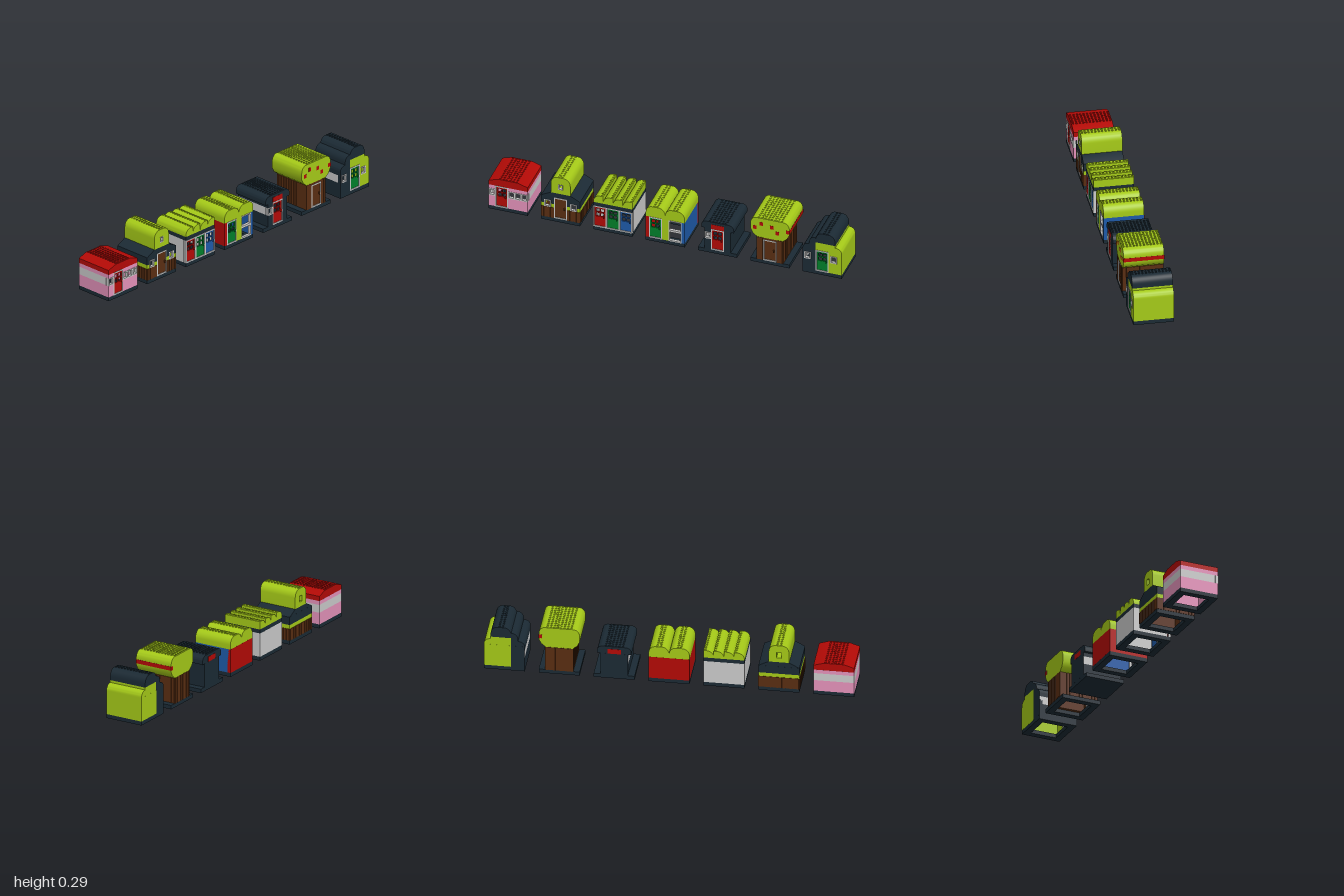
import * as THREE from 'three';
import { mergeGeometries, toCreasedNormals } from 'three/addons/utils/BufferGeometryUtils.js';

// s runs along -z in studs from each house centre, h is height in bricks, x is in units.
const U = 0.0184, B = 0.0222, X0 = -0.114, X1 = 0.107, PITCH = 0.2965;
const GREY = 0xcccccc, LIME = 0xa5ca18, RED = 0xb40a06, PINK = 0xe492ba, DARK = 0x1b2a34,
  BROWN = 0x5a2e12, GREEN = 0x00802b, BLUE = 0x1e5aa8;
const materials = {};
const mat = c => materials[c] ??= new THREE.MeshStandardMaterial({ color: c });

function add(g, name, color, geo) {
  const m = new THREE.Mesh(geo, mat(color));
  m.name = name;
  g.add(m);
}

const boxGeo = (s0, s1, h0, h1, x0 = X0, x1 = X1) =>
  new THREE.BoxGeometry(x1 - x0, (h1 - h0) * B, (s1 - s0) * U)
    .translate((x0 + x1) / 2, (h0 + h1) / 2 * B, -(s0 + s1) / 2 * U);

const rect = (s0, s1, h0, h1) => [[s0, h0], [s1, h0], [s1, h1], [s0, h1]];

// Side profile [s, h] with optional rectangular holes, swept along x
function prism(profile, holes = [], x0 = X0, x1 = X1) {
  const v = ([s, h]) => new THREE.Vector2(s * U, h * B);
  const shape = new THREE.Shape(profile.map(v));
  shape.holes = holes.map(q => new THREE.Path(rect(...q).reverse().map(v)));
  const geo = new THREE.ExtrudeGeometry(shape, { depth: x1 - x0, bevelEnabled: false });
  return toCreasedNormals(geo.rotateY(Math.PI / 2).translate(x0, 0, 0), 0.5);
}

// Block with rounded top corners: l and r are corner widths, e is corner height
function rounded(s0, s1, h0, h1, l, r, e) {
  const n = l || r ? 8 : 0;
  const arc = (w, f) => w ? Array.from({ length: n + 1 }, (_, i) => f(i / n * Math.PI / 2)) : null;
  const right = arc(r, a => [s1 - r + r * Math.cos(a), h1 - e + e * Math.sin(a)]) ?? [[s1, h1]];
  const left = arc(l, a => [s0 + l - l * Math.sin(a), h1 - e + e * Math.cos(a)]) ?? [[s0, h1]];
  return [[s0, h0], [s1, h0], ...right, ...left];
}

// Rows of studs on a flat top
function studs(g, color, s0, s1, h) {
  const geos = [];
  for (let s = s0 + 0.5; s < s1; s++) for (let i = 0; i < 12; i++)
    geos.push(new THREE.CylinderGeometry(0.0055, 0.0055, 0.006, 8)
      .translate(X0 + (i + 0.5) * (X1 - X0) / 12, h * B + 0.001, -s * U));
  add(g, 'roofStuds', color, mergeGeometries(geos));
}

// Open ring under a house
function base(g) {
  const t = 2 * U;
  add(g, 'base', DARK, mergeGeometries([
    boxGeo(-6, -4, 0, 1), boxGeo(4, 6, 0, 1),
    boxGeo(-4, 4, 0, 1, X0, X0 + t), boxGeo(-4, 4, 0, 1, X1 - t, X1)]));
}

// Hollow walls in horizontal bands [h0, h1, colour, colours by side]; null leaves a side out
function walls(g, s0, s1, bands, openings = []) {
  for (const [h0, h1, c, o = {}] of bands) {
    const side = { front: c, back: c, left: c, right: c, ...o };
    if (side.left !== null) add(g, 'sideWall', side.left, boxGeo(s0, s0 + 1, h0, h1, X0, X1 - U));
    if (side.right !== null) add(g, 'sideWall', side.right, boxGeo(s1 - 1, s1, h0, h1, X0, X1 - U));
    add(g, 'backWall', side.back, boxGeo(s0, s1, h0, h1, X0 - 0.0003, X0 + U));
    // Front wall is split into cells around the openings
    const hs = [...new Set([h0, h1, ...openings.flatMap(q => [q[2], q[3]])])]
      .filter(h => h >= h0 && h <= h1).sort((a, b) => a - b);
    const cells = [];
    for (let i = 0; i + 1 < hs.length; i++) {
      let s = s0;
      const row = openings.filter(q => q[2] <= hs[i] && q[3] >= hs[i + 1]).sort((a, b) => a[0] - b[0]);
      for (const q of [...row, [s1, s1]]) {
        if (q[0] > s) cells.push(boxGeo(s, q[0], hs[i], hs[i + 1], X1 - U, X1));
        s = q[1];
      }
    }
    if (cells.length) add(g, 'frontWall', side.front, mergeGeometries(cells));
  }
}

// Upright ribs of log-textured walls, leaving the doorway clear
function ribs(g, s0, s1, h0, h1) {
  const d = 0.0025, k = d / U, geos = [];
  for (let s = s0; s < s1; s++) {
    geos.push(boxGeo(s + 0.15, s + 0.85, h0, h1, X0 - d, X0));
    if (s >= 2 || s < -2) geos.push(boxGeo(s + 0.15, s + 0.85, h0, h1, X1, X1 + d));
  }
  for (let i = 0; i < 12; i++) {
    const x = X0 + (i + 0.15) * U;
    geos.push(boxGeo(s0 - k, s0, h0, h1, x, x + 0.7 * U), boxGeo(s1, s1 + k, h0, h1, x, x + 0.7 * U));
  }
  add(g, 'logRibs', BROWN, mergeGeometries(geos));
}

function frame(g, name, [a, b, c, d], w = 0.3) {
  add(g, name, GREY, prism(rect(a, b, c, d), [[a + w, b - w, c + w, d - w]], X1 - 0.014, X1 + 0.002));
}

const doorway = s => [s, s + 4, 1, 7];

function door(g, color, s0, glazed = true) {
  const s1 = s0 + 4, m = s0 + 2, panes = [];
  frame(g, 'doorFrame', doorway(s0));
  if (glazed) for (const a of [m - 1.25, m + 0.15]) for (const h of [4, 5.25]) panes.push([a, a + 1.1, h, h + 1]);
  add(g, 'door', color, prism(rect(s0 + 0.3, s1 - 0.3, 1.3, 6.7), panes, X1 - 0.01, X1 - 0.002));
  add(g, 'doorHandle', color, boxGeo(s1 - 0.95, s1 - 0.6, 3.8, 4.4, X1 - 0.003, X1 + 0.007));
}

const smallWindow = s => [s, s + 2, 4, 6];
const windows = (g, list) => list.forEach(q => frame(g, 'windowFrame', q));

function pinkHouse(g) {
  const win = [-6, 0, 2, 4].map(smallWindow);
  base(g);
  walls(g, -6, 6, [[1, 4, PINK], [4, 6, GREY], [6, 7, PINK]], [...win, doorway(-4)]);
  door(g, RED, -4);
  windows(g, win);
  add(g, 'roof', RED, prism([[-6, 7], [6, 7], [6, 8.2], [3, 9], [-3, 9], [-6, 8.2]]));
  studs(g, RED, -3, 3, 9);
}

function towerHouse(g) {
  const win = [-5, 3].map(smallWindow), towerWin = [-0.7, 0.7, 9.5, 11];
  base(g);
  walls(g, -6, 6, [[1, 4, BROWN], [4, 5, LIME], [5, 7, DARK]], [...win, doorway(-2)]);
  ribs(g, -6, 6, 1, 4);
  door(g, BROWN, -2, false);
  windows(g, win);
  add(g, 'lowerRoof', DARK, prism([[-6, 7], [6, 7], [3, 8.3], [-3, 8.3]]));
  add(g, 'tower', LIME, prism(rounded(-3, 3, 8.3, 13, 2, 2, 1.9), [towerWin]));
  frame(g, 'towerWindow', towerWin, 0.2);
  studs(g, LIME, -1, 1, 13);
}

function sawtoothHouse(g) {
  base(g);
  walls(g, -6, 6, [[1, 7, GREY]], [-6, -2, 2].map(doorway));
  [RED, GREEN, BLUE].forEach((c, i) => door(g, c, -6 + 4 * i));
  add(g, 'roofBand', DARK, boxGeo(-6, 6, 7, 8));
  for (let s = -6; s < 6; s += 3) {
    add(g, 'roofTooth', LIME, prism(rounded(s, s + 3, 8, 10, 2, 0, 1.7)));
    studs(g, LIME, s + 2, s + 3, 10);
  }
}

function twinArchHouse(g) {
  const win = [[1, 5, 1, 4], [1, 5, 4, 7]], corners = [[-6, -5, 1, 7], [5, 6, 1, 7]];
  base(g);
  walls(g, -6, 6, [[1, 7, RED, { right: BLUE, front: LIME }]], [...corners, doorway(-5), ...win]);
  [RED, BLUE].forEach((c, i) => add(g, 'frontCorner', c, boxGeo(...corners[i], X1 - U, X1)));
  door(g, GREEN, -5);
  windows(g, win);
  for (const s of [-6, 0]) {
    add(g, 'roofArch', LIME, prism(rounded(s, s + 6, 7, 10, 2, 2, 1.9)));
    studs(g, LIME, s + 2, s + 4, 10);
  }
}

function darkHut(g) {
  const win = [smallWindow(-4)];
  add(g, 'base', DARK, boxGeo(-6, 6, 0, 1));
  walls(g, -4, 4, [[1, 4, DARK], [4, 6, DARK, { left: GREY }], [6, 7, DARK]], [...win, doorway(-2)]);
  door(g, RED, -2);
  windows(g, win);
  add(g, 'roof', DARK, prism(rounded(-5, 5, 7, 9, 1.6, 1.6, 1.3)));
  add(g, 'lintel', RED, boxGeo(-2, 2, 7, 8.3, X0 - 0.001, X1 + 0.001));
  studs(g, DARK, -3, 3, 9);
}

function mushroomHut(g) {
  base(g);
  walls(g, -4, 4, [[1, 7.5, BROWN]], [doorway(-2)]);
  ribs(g, -4, 4, 1, 7.5);
  door(g, BROWN, -2, false);
  const cap = rounded(-6, 6, 9.6, 13, 1.8, 1.8, 1.8).slice(1);
  add(g, 'roof', LIME, prism([[-4, 7.5], [4, 7.5], [5.3, 8.4], ...cap, [-6, 9.6], [-5.3, 8.4]]));
  studs(g, LIME, -4, 4, 13);
  for (const [s, h] of [[-4.6, 10.1], [-2.6, 11.4], [0.6, 10.9], [2.3, 9.5]])
    add(g, 'roofSpot', RED, boxGeo(s - 0.5, s + 0.5, h - 0.5, h + 0.5, X1 - 0.002, X1 + 0.001));
  add(g, 'roofStripe', RED, boxGeo(5, 6.05, 9.9, 10.9, X0 - 0.001, X1 + 0.001));
}

function steppedHouse(g) {
  const dark = [-5.5, -3.5, 4, 6], lime = [2.5, 4.5, 4, 6], open = { right: null };
  base(g);
  walls(g, -6, -2, [[1, 4, DARK, open], [4, 6, DARK, { ...open, left: GREY }], [6, 7, DARK, open]], [dark]);
  walls(g, -2, 6, [[1, 7, LIME, { left: null }]], [doorway(-2), lime]);
  door(g, GREEN, -2);
  windows(g, [dark, lime]);
  add(g, 'limeEave', LIME, prism(rounded(4, 6, 7, 8.6, 0, 1.8, 1.5)));
  add(g, 'limeGable', LIME, boxGeo(-2, 4, 7, 9.2));
  add(g, 'lowStep', DARK, prism(rounded(-6, -4, 7, 8.4, 1.8, 0, 1.3)));
  add(g, 'midStep', DARK, prism(rounded(-4, -2, 7, 10.6, 1.8, 0, 1.6)));
  add(g, 'topRoof', DARK, prism(rounded(-2, 4, 9.2, 12, 2, 2, 1.9)));
  studs(g, DARK, 0, 2, 12);
}

export function createModel() {
  const model = new THREE.Group();
  model.name = 'houseRow';
  const row = [pinkHouse, towerHouse, sawtoothHouse, twinArchHouse, darkHut, mushroomHut, steppedHouse];
  row.forEach((build, i) => {
    const g = new THREE.Group();
    g.name = build.name;
    g.position.z = (3 - i) * PITCH;
    build(g);
    model.add(g);
  });
  return model;
}
